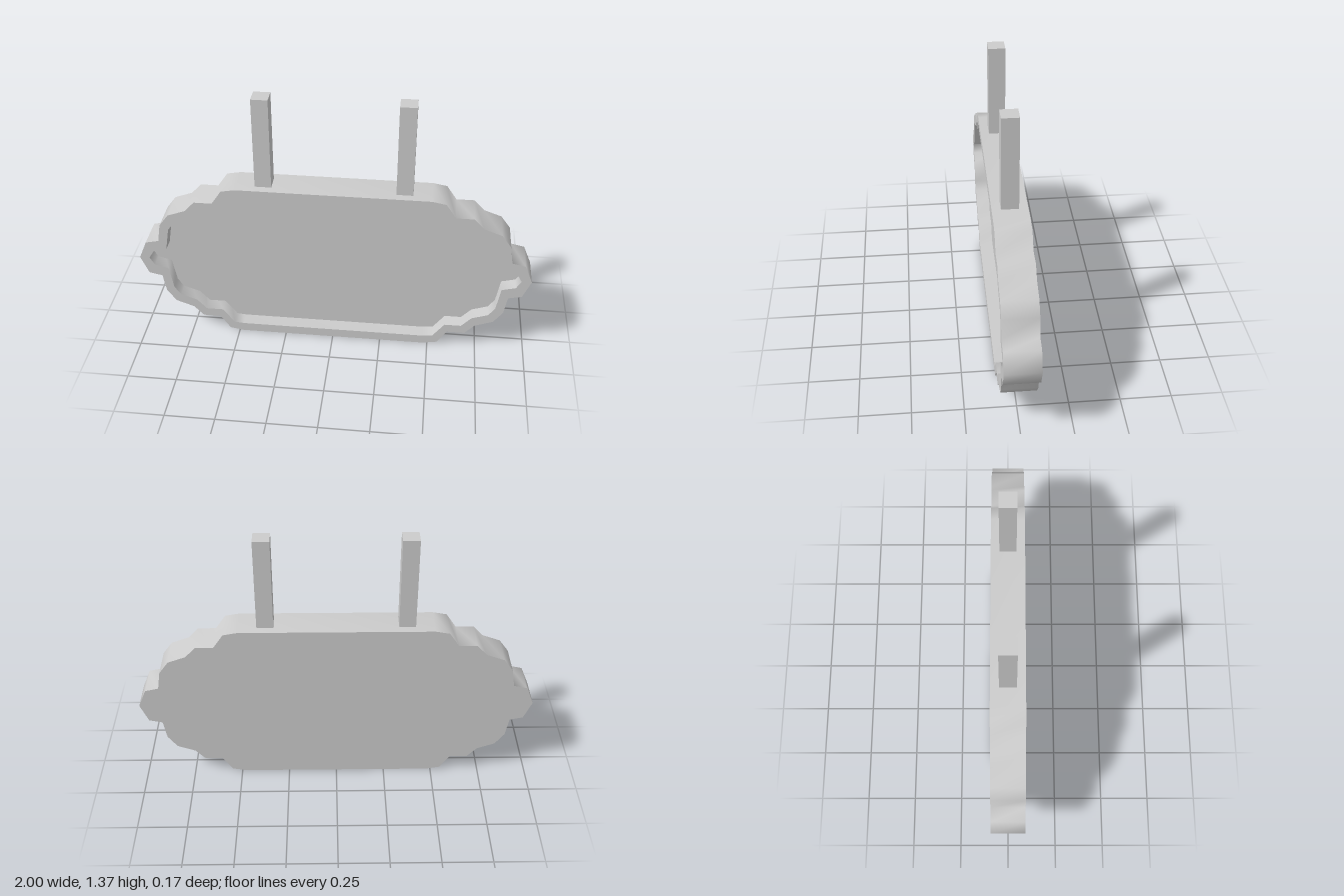
import * as THREE from 'three';
import { toCreasedNormals } from 'three/addons/utils/BufferGeometryUtils.js';

const MID = 0.445;      // height of the sign's centre line
const HALF_DEPTH = 0.085;
const RECESS = 0.072;   // how far the face sits behind the rim

// Upper right quarter of each scalloped outline, from top edge to side tip
const OUTER = [[0.48, 0.89], [0.55, 0.877], [0.6, 0.803], [0.69, 0.803], [0.74, 0.749],
  [0.83, 0.716], [0.877, 0.652], [0.893, 0.555], [0.96, 0.54], [1, MID]];
const INNER = [[0.475, 0.842], [0.525, 0.837], [0.585, 0.757], [0.67, 0.757], [0.72, 0.702],
  [0.803, 0.673], [0.835, 0.628], [0.856, 0.505], [0.925, 0.487], [0.95, MID]];

// Mirror a quarter outline into a full clockwise loop
function outline(quarter) {
  const flipY = ([x, y]) => [x, 2 * MID - y];
  const right = [...quarter, ...quarter.slice(0, -1).reverse().map(flipY)];
  const left = right.map(([x, y]) => [-x, y]).reverse();
  return [...right, ...left].map(([x, y]) => new THREE.Vector2(x, y));
}

// Scalloped sides shade smoothly, with sharp front and back edges
function extrude(shape, z, depth) {
  const geometry = new THREE.ExtrudeGeometry(shape, { depth, bevelEnabled: false });
  geometry.translate(0, 0, z);
  return toCreasedNormals(geometry, THREE.MathUtils.degToRad(80));
}

export function createModel() {
  const group = new THREE.Group();
  const material = new THREE.MeshStandardMaterial({ color: 0xcccccc });
  const add = (name, geometry) => {
    const mesh = new THREE.Mesh(geometry, material);
    mesh.name = name;
    group.add(mesh);
    return mesh;
  };

  // Full-depth scalloped rim: counter-clockwise outside, clockwise hole
  const rim = new THREE.Shape(outline(OUTER).reverse());
  rim.holes.push(new THREE.Path(outline(INNER)));
  add('signRim', extrude(rim, -HALF_DEPTH, 2 * HALF_DEPTH));

  // Recessed panel filling the rim, flush with the back
  const panel = new THREE.Shape(outline(INNER).reverse());
  add('signPanel', extrude(panel, -HALF_DEPTH, 2 * HALF_DEPTH - RECESS));

  // Two square hanging posts
  for (const [name, side] of [['leftPost', 1], ['rightPost', -1]]) {
    add(name, new THREE.BoxGeometry(0.082, 0.477, 0.084)).position.set(side * 0.347, 1.1275, 0);
  }
  return group;
}
